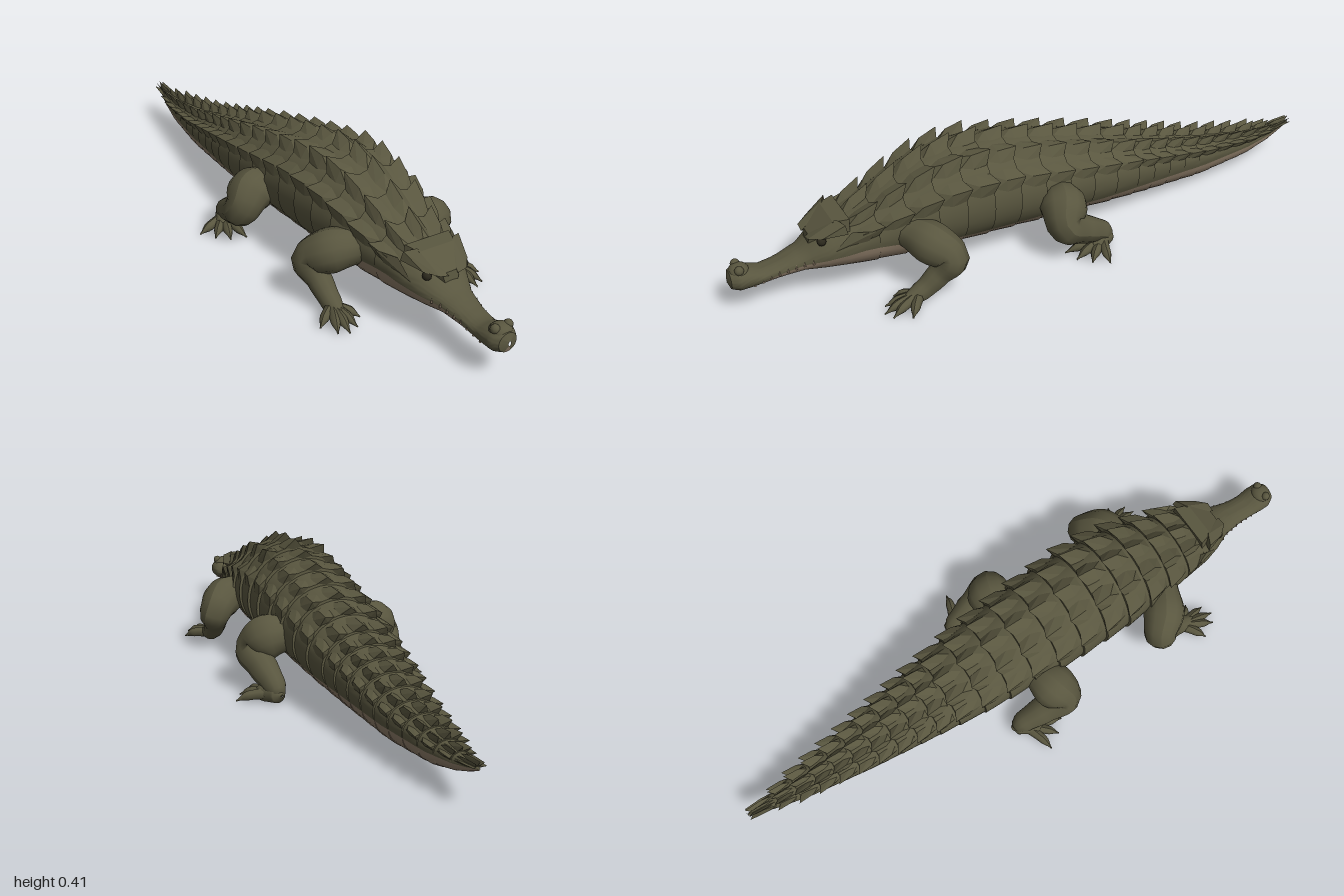
import * as THREE from 'three';
import { toCreasedNormals } from 'three/addons/utils/BufferGeometryUtils.js';
import { ConvexGeometry } from 'three/addons/geometries/ConvexGeometry.js';

const mat = (name, color) => {
  const m = new THREE.MeshStandardMaterial({ color });
  m.name = name;
  return m;
};
const V = (x, y, z) => new THREE.Vector3(x, y, z);

// z, half width, top, widest height, bottom, height of hide/belly seam
const STATIONS = [
  [1.0, 0.004, 0.122, 0.115, 0.108, 0.109], [0.992, 0.03, 0.143, 0.115, 0.086, 0.088],
  [0.97, 0.044, 0.152, 0.115, 0.077, 0.08], [0.94, 0.045, 0.145, 0.115, 0.078, 0.09],
  [0.9, 0.041, 0.13, 0.11, 0.081, 0.1], [0.85, 0.043, 0.138, 0.115, 0.087, 0.113],
  [0.78, 0.056, 0.162, 0.13, 0.09, 0.128], [0.72, 0.085, 0.21, 0.15, 0.084, 0.14],
  [0.66, 0.105, 0.235, 0.165, 0.078, 0.152], [0.6, 0.113, 0.26, 0.17, 0.072, 0.16],
  [0.5, 0.13, 0.313, 0.18, 0.068, 0.155], [0.4, 0.145, 0.355, 0.2, 0.06, 0.13],
  [0.3, 0.153, 0.372, 0.21, 0.057, 0.115], [0.15, 0.156, 0.365, 0.21, 0.055, 0.11],
  [0, 0.15, 0.333, 0.19, 0.05, 0.11], [-0.2, 0.135, 0.283, 0.165, 0.04, 0.105],
  [-0.4, 0.108, 0.225, 0.14, 0.03, 0.1], [-0.6, 0.08, 0.17, 0.11, 0.025, 0.09],
  [-0.8, 0.048, 0.133, 0.095, 0.045, 0.09], [-0.92, 0.024, 0.122, 0.1, 0.078, 0.1],
  [-1, 0.002, 0.119, 0.117, 0.114, 0.117],
];

function section(z) {
  let i = 0;
  while (i < STATIONS.length - 2 && STATIONS[i + 1][0] > z) i++;
  const a = STATIONS[i], b = STATIONS[i + 1];
  const t = THREE.MathUtils.clamp((a[0] - z) / (a[0] - b[0]), 0, 1);
  return a.map((v, k) => v + (b[k] - v) * t);
}

// Point on the body at angle a from the top, pushed out by scale s
function onBody(z, a, s = 1) {
  const [, w, top, mid, bottom] = section(z);
  const c = Math.cos(a);
  return V(w * Math.sin(a) * s, mid + c * s * (c > 0 ? top - mid : mid - bottom), z);
}

function seamAngle(z) {
  const [, , top, mid, bottom, seam] = section(z);
  const c = (seam - mid) / (seam > mid ? top - mid : mid - bottom);
  return Math.acos(THREE.MathUtils.clamp(c, -0.98, 0.98));
}

// Loft through [z, flare] rings, over the back or under the belly
function bodyShell(rings, belly, weight) {
  const n = belly ? 18 : 32, pos = [], index = [];
  rings.forEach(([z, flare], i) => {
    const s = seamAngle(z), from = belly ? s : -s, to = belly ? 2 * Math.PI - s : s;
    for (let j = 0; j <= n; j++) {
      const t = (2 * j) / n - 1;
      const p = onBody(z, from + (to - from) * (j / n), 1 + flare * weight * (1 - t ** 6));
      pos.push(p.x, p.y, p.z);
      if (i && j < n) {
        const b = i * (n + 1) + j, a = b - n - 1;
        index.push(a, a + 1, b, a + 1, b + 1, b);
      }
    }
  });
  const g = new THREE.BufferGeometry();
  g.setAttribute('position', new THREE.Float32BufferAttribute(pos, 3));
  g.setIndex(index);
  return toCreasedNormals(g, 0.6);
}

// Tapered tube through [x, y, z, radius] points
function limb(points, sides = 12) {
  const curve = new THREE.CatmullRomCurve3(points.map((p) => V(p[0], p[1], p[2])));
  const n = (points.length - 1) * 5;
  const g = new THREE.TubeGeometry(curve, n, 1, sides);
  const pos = g.attributes.position, v = V(0, 0, 0);
  for (let i = 0; i <= n; i++) {
    const u = curve.getUtoTmapping(i / n) * (points.length - 1);
    const k = Math.min(Math.floor(u), points.length - 2);
    const f = THREE.MathUtils.smoothstep(u - k, 0, 1);
    const r = points[k][3] + (points[k + 1][3] - points[k][3]) * f;
    const c = curve.getPointAt(i / n);
    for (let j = 0; j <= sides; j++) {
      const id = i * (sides + 1) + j;
      v.fromBufferAttribute(pos, id).sub(c).multiplyScalar(r).add(c);
      pos.setXYZ(id, v.x, Math.max(v.y, 0), v.z);
    }
  }
  g.computeVertexNormals();
  return g;
}

export function createModel() {
  const model = new THREE.Group();
  const hide = mat('olive hide', 0x59563f);
  const pale = mat('tan belly', 0x8c7b67);
  const dark = mat('dark eye', 0x2c291d);
  const add = (name, geometry, material, parent = model) => {
    const m = new THREE.Mesh(geometry, material);
    m.name = name;
    parent.add(m);
    return m;
  };

  // Smooth head rings, then overlapping armour bands along back and tail
  const rings = [], bands = [];
  for (let z = 1; z > 0.67; z -= z > 0.96 ? 0.008 : 0.02) rings.push([z, 0]);
  for (let z = 0.66; z > -0.99;) {
    let end = z - (z > -0.3 ? 0.088 : 0.066);
    if (end < -0.96) end = -1;
    bands.push([z, end]);
    rings.push([z, 0], [(z + end) / 2, 0.5], [end + 0.001, 1]);
    z = end;
  }
  rings.push([-1, 0]);
  add('back', bodyShell(rings, false, 0.06), hide);
  add('belly', bodyShell(rings, true, 0.025), pale);

  // Keeled scutes in five rows, each rising towards its rear point
  const scutes = new THREE.Group();
  scutes.name = 'scutes';
  model.add(scutes);
  for (const [z0, z1] of bands) {
    const base = z0 > 0.25 ? 0.036 : z0 > -0.3 ? 0.024 : 0.026;
    for (const row of [-2, -1, 0, 1, 2]) {
      const a = row * 0.54, da = 0.21;
      const h = base * (z1 < -0.9 ? 0.7 : 1) * (Math.abs(row) === 2 ? 0.85 : 1);
      const out = (p, d) => p.add(V(Math.sin(a) * d, Math.cos(a) * d, 0));
      const zr = Math.max(z1 + 0.004, -0.985);
      const tip = out(onBody(zr, a, 1.03), h);
      tip.z = Math.max(z1 - 0.014, -1);
      const zm = (z0 + zr) / 2;
      add('scute', new ConvexGeometry([
        onBody(z0 - 0.008, a - da * 0.6, 1), onBody(z0 - 0.008, a + da * 0.6, 1),
        onBody(zr, a - da, 1.04), onBody(zr, a + da, 1.04), onBody(zr, a, 0.95),
        onBody(zm, a - da, 1.035), onBody(zm, a + da, 1.035),
        out(onBody(zm, a, 1.03), h * 0.6), tip,
      ]), hide, scutes);
    }
  }

  // Nose pad
  const nose = add('nosePad', new THREE.SphereGeometry(1, 16, 10), hide);
  nose.scale.set(0.034, 0.022, 0.03);
  nose.position.set(0, 0.136, 0.962);

  // Skull plate joining the brows
  add('skullPlate', new ConvexGeometry([-1, 1].flatMap((s) => [
    V(s * 0.03, 0.205, 0.755), V(s * 0.06, 0.25, 0.69), V(s * 0.075, 0.255, 0.645),
    V(s * 0.08, 0.2, 0.65), V(s * 0.02, 0.17, 0.76),
  ])), hide);

  const frontToes = [[0.155, 0.56], [0.19, 0.6], [0.225, 0.615], [0.255, 0.6], [0.282, 0.55]];
  const hindToes = [[0.2, 0.005], [0.25, -0.008], [0.287, -0.042], [0.316, -0.09]];

  for (const s of [-1, 1]) {
    const side = new THREE.Group();
    side.name = s > 0 ? 'leftSide' : 'rightSide';
    model.add(side);
    // Mirror a geometry to this side, restoring the corner order
    const put = (name, g, m) => {
      if (s < 0) {
        g = g.index ? g.toNonIndexed() : g;
        g.scale(-1, 1, 1);
        for (const key of ['position', 'normal']) {
          const at = g.attributes[key], p = V(0, 0, 0), q = V(0, 0, 0);
          for (let i = 0; i < at.count; i += 3) {
            p.fromBufferAttribute(at, i + 1);
            q.fromBufferAttribute(at, i + 2);
            at.setXYZ(i + 1, q.x, q.y, q.z);
            at.setXYZ(i + 2, p.x, p.y, p.z);
          }
        }
      }
      return add(name, g, m, side);
    };

    // Brow, eye, nostril and cheek horn
    put('brow', new ConvexGeometry([
      V(0.015, 0.2, 0.765), V(0.045, 0.206, 0.765), V(0.075, 0.212, 0.73), V(0.094, 0.25, 0.665),
      V(0.1, 0.222, 0.66), V(0.03, 0.232, 0.71), V(0.06, 0.256, 0.68), V(0.05, 0.2, 0.68),
    ]), hide);
    put('eye', new THREE.SphereGeometry(0.014, 12, 8).translate(0.062, 0.198, 0.73), dark);
    put('nostril', new THREE.SphereGeometry(0.014, 10, 8).translate(0.022, 0.148, 0.965), hide);
    put('cheekHorn', new ConvexGeometry([
      V(0.09, 0.17, 0.7), V(0.1, 0.225, 0.65), V(0.128, 0.225, 0.585), V(0.1, 0.16, 0.62), V(0.08, 0.2, 0.6),
    ]), hide);

    // Teeth along the jaw seam
    for (let z = 0.76; z < 0.93; z += 0.024) {
      const p = onBody(z, seamAngle(z));
      put('tooth', new THREE.ConeGeometry(0.004, 0.014, 5).translate(p.x, p.y + 0.005, z), pale);
    }

    // Front leg
    put('frontLeg', limb([
      [0.1, 0.18, 0.48, 0.05], [0.175, 0.165, 0.435, 0.066], [0.218, 0.13, 0.395, 0.053],
      [0.208, 0.075, 0.435, 0.037], [0.205, 0.035, 0.485, 0.031], [0.212, 0.018, 0.545, 0.018],
      [0.213, 0.012, 0.56, 0.002],
    ]), hide);
    for (const [x, z] of frontToes) {
      const mx = 0.212 + (x - 0.212) * 0.6, mz = 0.5 + (z - 0.5) * 0.6;
      put('frontToe', limb([
        [0.21, 0.026, 0.5, 0.018], [mx, 0.021, mz, 0.015], [x, 0.005, z, 0.002],
      ], 7), hide);
    }

    // Hind leg, folded back at the ankle, with a forward foot
    put('hindLeg', limb([
      [0.1, 0.17, -0.02, 0.05], [0.182, 0.162, 0.002, 0.073], [0.22, 0.125, 0.018, 0.056],
      [0.212, 0.085, -0.05, 0.046], [0.202, 0.05, -0.12, 0.036], [0.2, 0.028, -0.145, 0.024],
      [0.2, 0.02, -0.155, 0.002],
    ]), hide);
    put('hindFoot', limb([
      [0.195, 0.03, -0.165, 0.004], [0.2, 0.028, -0.145, 0.027], [0.228, 0.022, -0.095, 0.028],
      [0.25, 0.012, -0.055, 0.003],
    ]), hide);
    for (const [x, z] of hindToes) {
      const mx = 0.22 + (x - 0.22) * 0.6, mz = -0.11 + (z + 0.11) * 0.6;
      put('hindToe', limb([
        [0.215, 0.026, -0.12, 0.018], [mx, 0.02, mz, 0.015], [x, 0.005, z, 0.002],
      ], 7), hide);
    }
  }
  return model;
}
